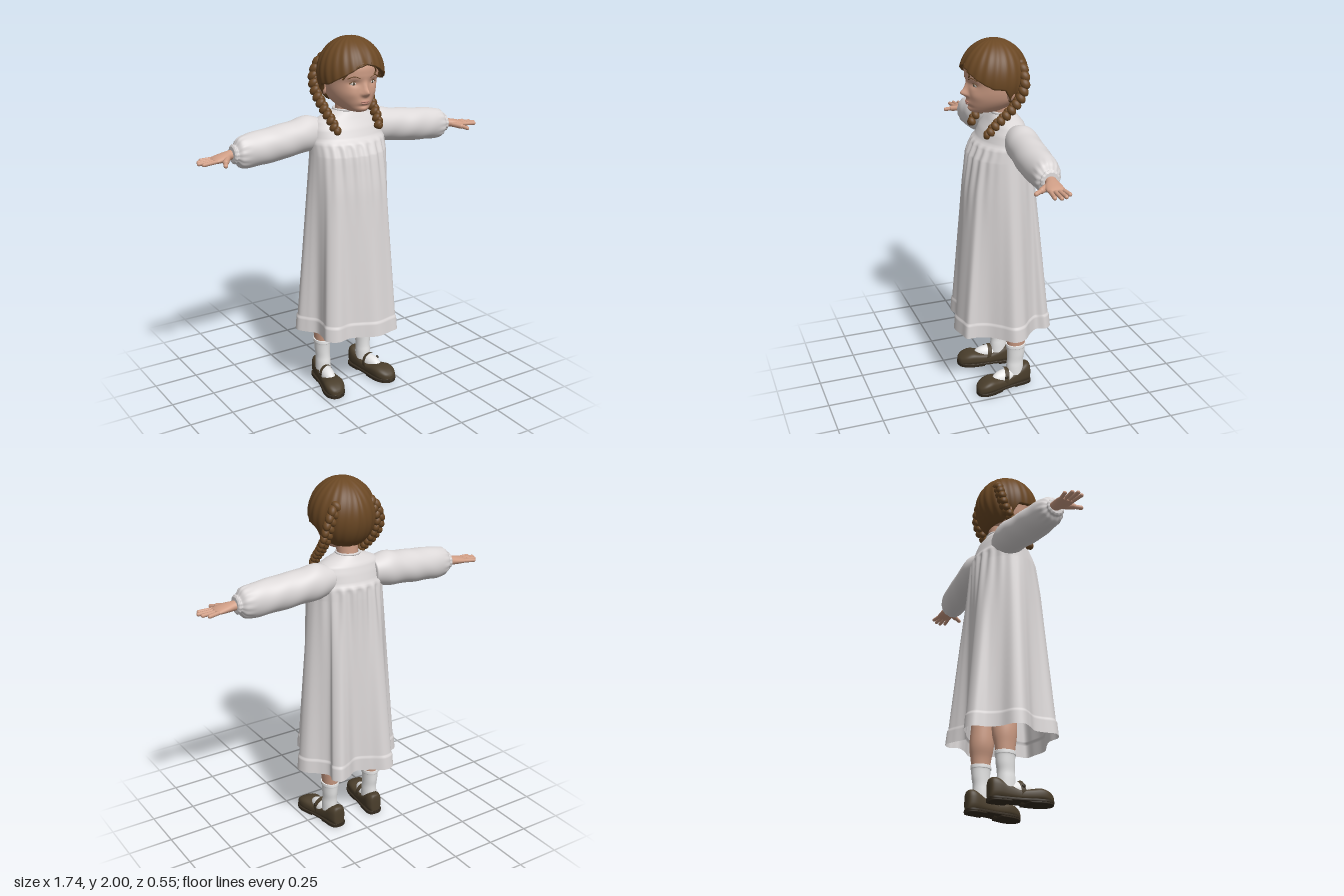
import * as THREE from 'three';

const mat = (name, color, side = THREE.FrontSide) => {
  const m = new THREE.MeshStandardMaterial({ color, side });
  m.name = name;
  return m;
};

// Smooth interpolation through rows of numbers
function smooth(keys, steps) {
  const out = [], last = keys.length - 1;
  for (let s = 0; s <= steps; s++) {
    const f = (s / steps) * last, i = Math.min(Math.floor(f), last - 1), t = f - i;
    const [a, b, c, d] = [-1, 0, 1, 2].map(o => keys[Math.min(Math.max(i + o, 0), last)]);
    out.push(b.map((_, k) => b[k] + 0.5 * t * (c[k] - a[k] + t * (2 * a[k] - 5 * b[k] + 4 * c[k] - d[k]
      + t * (3 * (b[k] - c[k]) + d[k] - a[k])))));
  }
  return out;
}

// Linear lookup in a table sorted by its first column
function lookup(table, x) {
  let i = 0;
  while (i < table.length - 2 && x > table[i + 1][0]) i++;
  const a = table[i], b = table[i + 1];
  const t = THREE.MathUtils.clamp((x - a[0]) / (b[0] - a[0]), 0, 1);
  return a.map((v, k) => v + (b[k] - v) * t);
}

// Closed rings joined into a skin; capped ends collapse to their centre
function loft(rings, cap = true) {
  if (cap) {
    const point = r => r.map(() => [0, 1, 2].map(k => r.reduce((s, p) => s + p[k], 0) / r.length));
    rings = [point(rings[0]), ...rings, point(rings[rings.length - 1])];
  }
  const n = rings[0].length, index = [];
  for (let i = 0; i < rings.length - 1; i++) for (let j = 0; j < n; j++) {
    const a = i * n + j, b = i * n + (j + 1) % n;
    index.push(a, b, a + n, b, b + n, a + n);
  }
  const g = new THREE.BufferGeometry();
  g.setAttribute('position', new THREE.Float32BufferAttribute(rings.flat(2), 3));
  g.setIndex(index);
  g.computeVertexNormals();
  return g;
}

const ring = (n, f) => Array.from({ length: n }, (_, j) => f(j / n * Math.PI * 2));
// Upright form: [y, x, z, halfWidth, frontDepth, backDepth]
const upright = (keys, steps, n, shape = p => p) => loft(smooth(keys, steps).map(([y, x, z, w, f, b]) =>
  ring(n, a => shape([x + w * Math.sin(a), y, z + (Math.cos(a) > 0 ? f : b) * Math.cos(a)]))));
// Sideways form: [x, y, z, halfHeight, halfDepth]
const sideways = (keys, steps, n, wrinkle = () => 1) => loft(smooth(keys, steps).map(([x, y, z, h, d]) =>
  ring(n, a => [x, y + h * wrinkle(x, a) * Math.cos(a), z + d * wrinkle(x, a) * Math.sin(a)])));

const bump = (x, y, cx, cy, sx, sy) => Math.exp(-(((x - cx) / sx) ** 2) - ((y - cy) / sy) ** 2);

export function createModel() {
  const model = new THREE.Group();
  model.name = 'girl';
  const cloth = mat('dress cloth', 0xdcd8d8, THREE.DoubleSide), sockMat = mat('sock white', 0xf2f2f2);
  const skin = mat('skin', 0xcf9e86), hairMat = mat('hair brown', 0x6b4824, THREE.DoubleSide);
  const shoeMat = mat('shoe leather', 0x4a3e2c), soleMat = mat('sole', 0x352c20);
  const white = mat('eye white', 0xd8cfc8), iris = mat('iris', 0x5a5040), lip = mat('lips', 0xbd8474);

  const add = (parent, name, geo, material) => {
    const m = new THREE.Mesh(geo, material);
    m.name = name;
    parent.add(m);
    return m;
  };
  const ball = (parent, name, material, p, s, ry = 0, rz = 0) => {
    const m = add(parent, name, new THREE.SphereGeometry(1, 20, 14), material);
    m.position.set(...p); m.scale.set(...s); m.rotation.set(0, ry, rz);
    return m;
  };
  const tube = (parent, name, material, pts, r) => add(parent, name, new THREE.TubeGeometry(
    new THREE.CatmullRomCurve3(pts.map(p => new THREE.Vector3(...p))), 20, r, 8), material);

  // Dress: an oval bodice flowing down into a wavy hem
  const hem = new THREE.CatmullRomCurve3([[.03, .265], [.12, .25], [.175, .235], [.18, .18], [.2, .12], [.25, .06],
    [.31, 0], [.3, -.06], [.235, -.12], [.2, -.17], [.215, -.22], [.18, -.26], [.12, -.24], [.05, -.205],
    [-.03, -.24], [-.1, -.285], [-.16, -.27], [-.18, -.2], [-.22, -.14], [-.29, -.1], [-.31, -.05], [-.28, 0],
    [-.24, .05], [-.24, .11], [-.25, .17], [-.2, .215], [-.12, .205], [-.05, .23]]
    .map(([x, z]) => new THREE.Vector3(x, 0, z)), true).getPoints(224).slice(0, 224);
  // [y, centreZ, halfWidth, front, back]
  const bodice = [[.37, 0, .22, .17, .185], [1.2, 0, .22, .17, .185], [1.38, 0, .22, .155, .185],
    [1.45, -.015, .222, .145, .168], [1.47, -.02, .215, .125, .15], [1.52, -.03, .208, .11, .125],
    [1.56, -.04, .185, .092, .1], [1.585, -.04, .13, .077, .08], [1.6, -.04, .085, .066, .07], [1.61, -.04, .064, .06, .062]];
  const levels = [.37, .38, .41, .437, .447, .452, .46];
  for (let y = .5; y < 1.38; y += .04) levels.push(y);
  for (let y = 1.38; y <= 1.611; y += .01) levels.push(y);
  add(model, 'dress', loft(levels.map(y => {
    const [, cz, hw, f, b] = lookup(bodice, y);
    const w = Math.max(0, (1.45 - y) / 1.08) ** .95;
    const gather = .007 * THREE.MathUtils.smoothstep(1.465 - y, 0, .04) * THREE.MathUtils.smoothstep(y, .95, 1.4);
    const band = y < .45 ? 1 : .98;
    return hem.map(h => {
      const a = Math.atan2(h.x, h.z), c = Math.cos(a);
      const k = gather * Math.sin(a * 22) * c * c;
      const x = (hw + k) * Math.sin(a), z = cz + ((c > 0 ? f : b) + k) * c;
      return [(x + (h.x - x) * w) * band, y, (z + (h.z - z) * w) * band];
    });
  }), false), cloth);
  const collar = add(model, 'collar', new THREE.TorusGeometry(.062, .007, 8, 40), cloth);
  collar.rotation.x = Math.PI / 2;
  collar.position.set(0, 1.609, -.04);

  // Head with modelled nose, eye sockets, cheeks and mouth
  add(model, 'neck', upright([[1.54, 0, -.04, .06, .058, .06], [1.6, 0, -.035, .056, .055, .058],
    [1.7, 0, -.02, .062, .06, .07]], 8, 32), skin);
  add(model, 'head', upright([[1.617, 0, .085, .022, .03, .05], [1.627, 0, .055, .058, .088, .08],
    [1.655, 0, .02, .092, .136, .1], [1.69, 0, 0, .118, .162, .115], [1.73, 0, 0, .132, .163, .135],
    [1.78, 0, 0, .141, .163, .15], [1.82, 0, 0, .15, .17, .15], [1.87, 0, 0, .148, .165, .15],
    [1.93, 0, 0, .11, .12, .12], [1.96, 0, 0, .05, .06, .06]], 70, 120, ([x, y, z]) => {
    if (z < .04) return [x, y, z];
    const m = Math.abs(x);
    return [x, y, z + .029 * bump(x, y, 0, 1.727, .017, .018) + .015 * bump(x, y, 0, 1.752, .014, .03)
      + .007 * bump(m, y, .018, 1.72, .01, .01) - .01 * bump(m, y, .056, 1.777, .026, .016)
      + .007 * bump(x, y, 0, 1.676, .03, .014) + .006 * bump(x, y, 0, 1.637, .03, .012)
      - .005 * bump(x, y, 0, 1.657, .03, .007) + .005 * bump(m, y, .07, 1.72, .03, .025)];
  }), skin);
  for (const s of [1, -1]) {
    ball(model, 'eye', white, [s * .057, 1.776, .134], [.022, .0105, .009], s * .38);
    ball(model, 'iris', iris, [s * .056, 1.776, .1395], [.0085, .009, .005], s * .38);
    tube(model, 'upperLid', hairMat, [[s * .034, 1.778, .146], [s * .056, 1.788, .144], [s * .08, 1.776, .131]], .002);
    tube(model, 'eyebrow', hairMat, [[s * .03, 1.804, .163], [s * .06, 1.815, .154], [s * .09, 1.803, .133]], .0028);
    ball(model, 'ear', skin, [s * .142, 1.735, -.03], [.015, .036, .022], 0, -s * .2);
  }
  ball(model, 'upperLip', lip, [0, 1.68, .162], [.027, .006, .008]);
  ball(model, 'lowerLip', lip, [0, 1.671, .161], [.022, .007, .008]);

  // Hair cap, cut along a hairline: [degrees from front, height]
  const hairline = [[0, 1.875], [18, 1.86], [45, 1.815], [70, 1.775], [92, 1.765], [108, 1.69], [130, 1.665], [180, 1.655]];
  const hairRows = [];
  for (let i = -1; i <= 36; i++) hairRows.push(ring(144, a => {
    const deg = Math.abs(a > Math.PI ? a - 2 * Math.PI : a) * 180 / Math.PI;
    const end = Math.acos((lookup(hairline, deg)[1] - 1.81) / .19);
    const phi = end * (1 - Math.max(i, 0) / 36) + 1e-4, sp = Math.sin(phi);
    const x = Math.sin(a) * sp;
    const r = (i < 0 ? .9 : 1) + .012 * sp * Math.sin(deg * .38 + phi * 3) - .025 * Math.exp(-((x / .05) ** 2)) * (1 - sp * .3);
    return [.178 * r * x, 1.81 + .194 * Math.cos(phi) * (r * .5 + .5), .015 + .183 * r * Math.cos(a) * sp];
  }));
  add(model, 'hair', loft(hairRows, false), hairMat);
  tube(model, 'looseStrand', hairMat, [[.02, 1.885, .181], [.045, 1.86, .18], [.06, 1.835, .168], [.05, 1.82, .168]], .004);
  tube(model, 'looseStrand', hairMat, [[-.02, 1.885, .181], [-.06, 1.865, .175], [-.1, 1.83, .148], [-.115, 1.8, .125]], .005);

  const sides = [[1, 'left'], [-1, 'right']];
  for (const [s, side] of sides) {
    // Braid of alternating lumps, falling in front of the shoulder
    const braid = new THREE.Group();
    braid.name = side + 'Braid';
    braid.scale.x = s;
    model.add(braid);
    const path = new THREE.CatmullRomCurve3([[.115, 1.88, -.1], [.152, 1.8, -.1], [.158, 1.72, -.075], [.15, 1.64, -.01],
      [.14, 1.575, .06], [.133, 1.53, .095]].map(p => new THREE.Vector3(...p)));
    for (let i = 0; i <= 22; i++) {
      const t = i / 22, p = path.getPointAt(t), k = i % 2 ? 1 : -1, r = .029 - .007 * t;
      const lump = ball(braid, 'braidLump', hairMat, [p.x + k * .009, p.y, p.z], [r * .8, r * 1.15, r * .9]);
      lump.rotation.set(.55, 0, k * .5);
    }
    ball(braid, 'braidEnd', hairMat, [.131, 1.525, .1], [.02, .022, .018]);

    // Sleeve, gathered at the cuff
    const arm = new THREE.Group();
    arm.name = side + 'Arm';
    arm.scale.x = s;
    arm.position.z = s > 0 ? 0 : -.015;
    model.add(arm);
    add(arm, 'sleeve', sideways([[.12, 1.49, -.06, .07, .07], [.21, 1.488, -.063, .096, .088], [.3, 1.478, -.055, .092, .09],
      [.4, 1.467, -.048, .093, .091], [.5, 1.456, -.043, .091, .086], [.58, 1.45, -.04, .089, .077],
      [.63, 1.447, -.036, .077, .066], [.652, 1.445, -.035, .047, .047], [.663, 1.445, -.035, .052, .05],
      [.672, 1.445, -.035, .04, .04]], 60, 64, (x, a) => 1 + .022 * Math.sin(x * 34 + a * 2) * Math.sin(a + x * 9)
        + .03 * THREE.MathUtils.smoothstep(x, .57, .65) * Math.sin(a * 14)), cloth);

    // Hand with spread thumb
    const hand = new THREE.Group();
    hand.name = side + 'Hand';
    hand.position.z = s > 0 ? 0 : -.012;
    arm.add(hand);
    add(hand, 'palm', sideways([[.64, 1.445, -.035, .027, .03], [.68, 1.441, -.032, .025, .031], [.72, 1.436, -.024, .023, .043],
      [.76, 1.431, -.022, .018, .046], [.782, 1.429, -.022, .01, .04]], 20, 28), skin);
    const finger = (name, a, b, r) => {
      const A = new THREE.Vector3(...a), B = new THREE.Vector3(...b), d = B.clone().sub(A);
      const m = add(hand, name, new THREE.CapsuleGeometry(r, d.length(), 5, 12), skin);
      m.position.copy(A).add(B).multiplyScalar(.5);
      m.quaternion.setFromUnitVectors(new THREE.Vector3(0, 1, 0), d.normalize());
    };
    [.825, .85, .86, .845].forEach((tip, i) =>
      finger('finger', [.765, 1.43, -.054 + i * .0215], [tip, 1.426, -.066 + i * .0285], .0105));
    finger('thumb', [.705, 1.434, -.002], [.735, 1.427, .04], .016);
    finger('thumb', [.735, 1.427, .04], [.752, 1.42, .075], .0115);

    // Leg, sock and strapped shoe
    const leg = new THREE.Group();
    leg.name = side + 'Leg';
    leg.scale.x = s;
    model.add(leg);
    add(leg, 'leg', upright([[.22, .138, -.067, .038, .044, .046], [.3, .137, -.067, .047, .055, .058],
      [.38, .13, -.067, .061, .066, .068], [.52, .124, -.06, .06, .065, .066], [.7, .118, -.045, .072, .078, .075],
      [.9, .112, -.03, .08, .085, .085]], 24, 32), skin);
    add(leg, 'sock', upright([[.04, .137, -.06, .043, .05, .055], [.12, .137, -.06, .042, .047, .052],
      [.16, .137, -.063, .04, .046, .049], [.2, .138, -.066, .042, .049, .052], [.245, .138, -.067, .045, .053, .055],
      [.25, .138, -.067, .049, .057, .058], [.268, .138, -.067, .049, .056, .058]], 36, 36), sockMat);
    ball(leg, 'sockFoot', sockMat, [.149, .065, 0], [.041, .046, .088], .16);

    // Shoe outline: [z, x, halfWidth, height]
    const outline = smooth([[-.157, .127, .014, .085], [-.15, .127, .034, .12], [-.12, .128, .046, .126], [-.07, .134, .047, .102],
      [0, .145, .049, .076], [.05, .155, .055, .078], [.1, .165, .06, .086], [.14, .171, .055, .076],
      [.17, .175, .036, .057], [.181, .177, .012, .04]], 44);
    const pow = (v, e) => Math.sign(v) * Math.abs(v) ** e;
    const shoePart = (name, material, rows, low, high, grow, e) => add(leg, name, loft(rows.map(([z, x, w, h]) => {
      const top = high ?? h, mid = (low + top) / 2;
      return ring(40, a => [x - (w + grow) * pow(Math.sin(a), e), mid + (top - mid) * pow(Math.cos(a), e), z]);
    })), material);
    shoePart('shoe', shoeMat, outline, .01, null, 0, .7);
    shoePart('sole', soleMat, outline, .008, .024, .004, .3);
    shoePart('heel', soleMat, outline.filter(r => r[0] < -.04), 0, .024, .003, .3);
    shoePart('frontSole', soleMat, outline.filter(r => r[0] > .03), 0, .016, .002, .3);
    const strap = add(leg, 'strap', new THREE.CylinderGeometry(.05, .05, .026, 32, 1, true, 0, Math.PI * 2), shoeMat);
    strap.scale.set(1, 1, 1.2);
    strap.rotation.set(Math.PI / 2 - .2, 0, 0);
    strap.position.set(.147, .062, .008);
    ball(leg, 'buckle', soleMat, [.195, .085, .008], [.006, .01, .01]);
  }
  return model;
}
